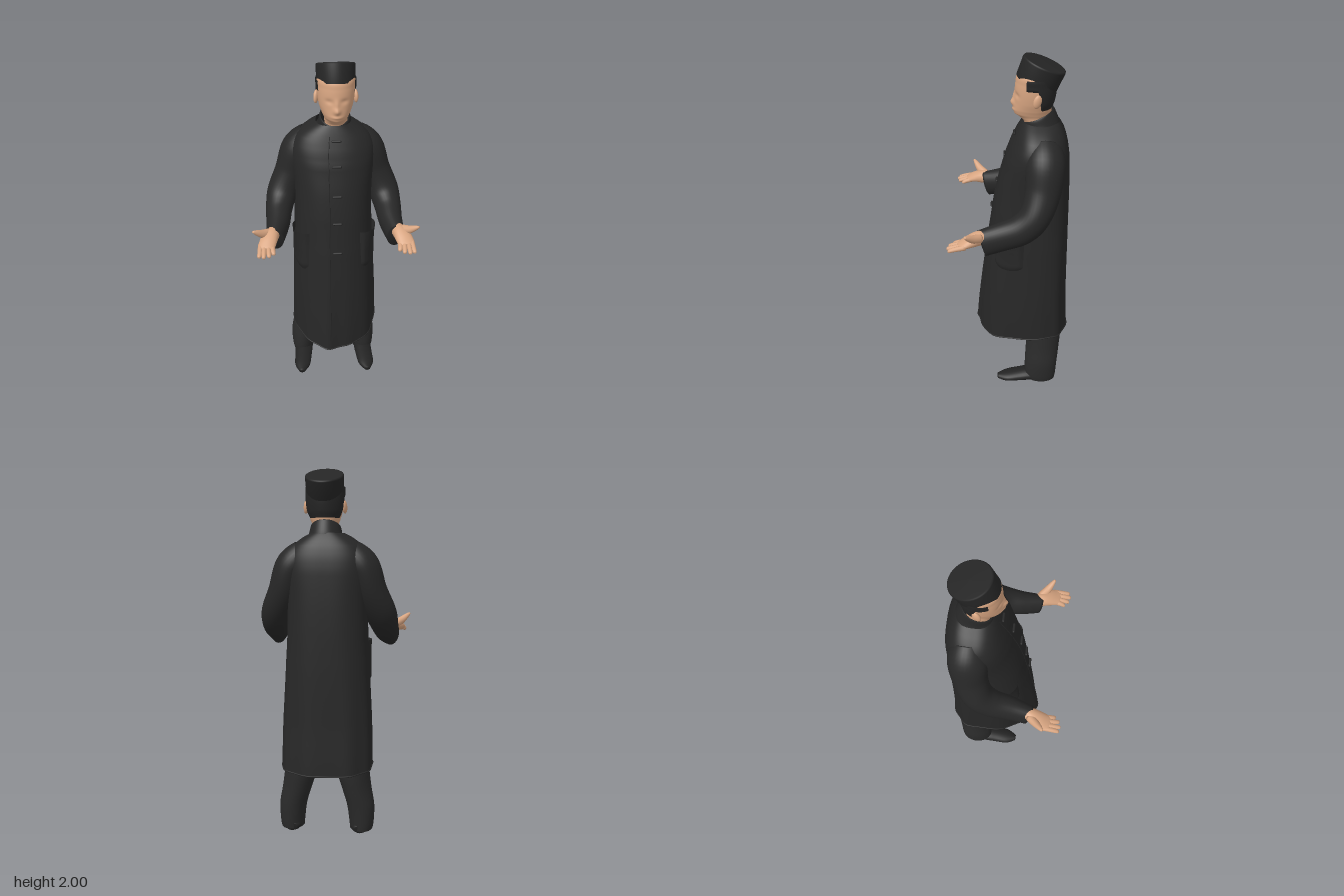
import * as THREE from 'three';

const { sin, cos, abs, sign, pow, exp, PI, max, min } = Math;
const V = (x, y, z) => new THREE.Vector3(x, y, z);
const paint = (name, color, side = THREE.FrontSide) => {
  const m = new THREE.MeshStandardMaterial({ color, side });
  m.name = name;
  return m;
};

// Grid surface from fn(u, v); closed joins the last column to the first
function surface(fn, nu, nv, closed = false) {
  const pos = [], idx = [], cols = closed ? nu : nu + 1;
  for (let j = 0; j <= nv; j++)
    for (let i = 0; i < cols; i++) pos.push(...fn(i / nu, j / nv).toArray());
  for (let j = 0; j < nv; j++)
    for (let i = 0; i < nu; i++) {
      const a = j * cols + i, b = j * cols + (i + 1) % cols;
      idx.push(a, b, a + cols, b, b + cols, a + cols);
    }
  const g = new THREE.BufferGeometry();
  g.setAttribute('position', new THREE.Float32BufferAttribute(pos, 3));
  g.setIndex(idx);
  g.computeVertexNormals();
  return g;
}

// Smooth interpolation through rows of numbers, at row index + fraction
function blend(keys, i, f) {
  const k = n => keys[max(0, min(keys.length - 1, n))];
  return k(i).map((b, c) => {
    const a = k(i - 1)[c], d = k(i + 1)[c], e = k(i + 2)[c];
    return b + 0.5 * f * (d - a + f * (2 * a - 5 * b + 4 * d - e + f * (3 * (b - d) + e - a)));
  });
}
const along = (keys, t) => {
  const s = max(0, min(1, t)) * (keys.length - 1), i = min(keys.length - 2, Math.floor(s));
  return blend(keys, i, s - i);
};
const atHeight = (keys, y) => {
  let i = 0;
  while (i < keys.length - 2 && y > keys[i + 1][0]) i++;
  return blend(keys, i, (y - keys[i][0]) / (keys[i + 1][0] - keys[i][0]));
};

// Capped limb through rows [x, y, z, radius in the bending plane, radius across]
function limb(keys, nv = 24, nu = 20, floor = -1) {
  const centre = t => V(...along(keys, t).slice(0, 3));
  return surface((u, v) => {
    const n = v * (nv + 2) - 1, t = max(0, min(1, n / nv));
    const r = n < -0.5 || n > nv + 0.5 ? 0 : 1;
    const [x, y, z, ru, rv] = along(keys, t);
    const tan = centre(min(1, t + 0.02)).sub(centre(max(0, t - 0.02))).normalize();
    const U = V(1, 0, 0).cross(tan).normalize(), W = tan.clone().cross(U);
    const p = V(x, y, z).addScaledVector(U, r * ru * cos(u * 2 * PI)).addScaledVector(W, r * rv * sin(u * 2 * PI));
    p.y = max(floor, p.y);
    return p;
  }, nu, nv + 2, true);
}

function mirrored(g) {
  const m = g.clone().scale(-1, 1, 1), ix = m.index.array;
  for (let i = 0; i < ix.length; i += 3) [ix[i], ix[i + 1]] = [ix[i + 1], ix[i]];
  m.computeVertexNormals();
  return m;
}

// Coat rows: height, half width, back z, front z
const coatRows = [
  [0.31, 0.253, -0.33, 0.185], [0.6, 0.247, -0.32, 0.165], [0.95, 0.23, -0.318, 0.13],
  [1.15, 0.22, -0.317, 0.105], [1.3, 0.22, -0.315, 0.075], [1.45, 0.23, -0.31, 0.035],
  [1.52, 0.225, -0.3, 0.008], [1.58, 0.195, -0.283, -0.02], [1.625, 0.14, -0.262, -0.042], [1.65, 0.092, -0.245, -0.058],
];
function coatPoint(a, y, off = 0) {
  const [, hx, zb, zf] = atHeight(coatRows, y), s = sin(a), c = cos(a), zc = -0.14;
  const low = max(0, 1 - (y - 0.31) / 0.8), fold = 0.004 * low * sin(9 * a + 0.5);
  const power = c > 0 ? 0.85 : 0.74;
  const x = 0.004 * low + (hx + off + fold) * sign(s) * pow(abs(s), power);
  let z = zc + ((c > 0 ? zf - zc : zc - zb) + off + fold) * sign(c) * pow(abs(c), power);
  if (c > 0) z += 0.035 * low * exp(-(((x + 0.05) / 0.05) ** 2));
  const hem = max(0, 1 - (y - 0.31) / 0.4);
  return V(x, y + hem * (0.015 * (1 - c) + 0.03 * s * s), z);
}

// Head rows: height, half width, back z, front z
const headRows = [
  [1.6, 0.06, -0.2, -0.075], [1.655, 0.062, -0.2, -0.06], [1.68, 0.064, -0.202, -0.035], [1.695, 0.07, -0.204, -0.014],
  [1.72, 0.08, -0.207, -0.008], [1.76, 0.092, -0.214, -0.012], [1.81, 0.099, -0.222, -0.014],
  [1.86, 0.1, -0.225, -0.018], [1.905, 0.096, -0.22, -0.03], [1.93, 0.05, -0.18, -0.09],
];
function headPoint(a, y, off = 0) {
  const [, hx, zb, zf] = atHeight(headRows, y), c = cos(a), zc = -0.125;
  const x = (hx + off) * sin(a);
  let z = zc + ((c > 0 ? zf - zc : zc - zb) + off) * c;
  const bump = (px, py, sx, sy, h) => h * exp(-(((x - px) / sx) ** 2) - ((y - py) / sy) ** 2);
  if (c > 0) z += bump(0, 1.752, 0.018, 0.018, 0.018) + bump(0, 1.785, 0.012, 0.025, 0.008)
    + bump(0, 1.716, 0.028, 0.008, 0.007) + bump(0, 1.688, 0.025, 0.012, 0.005)
    + bump(0.04, 1.8, 0.02, 0.014, -0.007) + bump(-0.04, 1.8, 0.02, 0.014, -0.007);
  return V(x, y, z);
}

export function createModel() {
  const root = new THREE.Group();
  root.name = 'robedMan';
  const cloth = paint('blackCoat', 0x272727, THREE.DoubleSide);
  const dark = paint('blackHatAndHair', 0x252525, THREE.DoubleSide);
  const trouser = paint('darkTrousers', 0x2a2a2a);
  const shoeMat = paint('blackShoes', 0x222222);
  const skin = paint('skin', 0xd9a682);
  const add = (name, geo, mat, parent = root) => {
    const m = new THREE.Mesh(geo, mat);
    m.name = name;
    parent.add(m);
    return m;
  };
  const pair = (name, geo, mat, parent = root) => {
    add('left' + name, geo, mat, parent);
    add('right' + name, mirrored(geo), mat, parent);
  };

  // Long coat, open underneath, with a rolled hem and front edge
  add('coat', surface((u, v) => coatPoint(u * 2 * PI, 0.31 + 1.34 * v), 96, 60, true), cloth);
  const line = (n, fn) => Array.from({ length: n }, (_, i) => fn(i / n));
  const hemPath = new THREE.CatmullRomCurve3(line(96, t => coatPoint(t * 2 * PI, 0.312)), true);
  add('coatHem', new THREE.TubeGeometry(hemPath, 192, 0.004, 8, true), cloth);
  const edgePath = new THREE.CatmullRomCurve3(line(30, t => coatPoint(-0.09, 0.315 + 1.33 * t)));
  add('coatFrontEdge', new THREE.TubeGeometry(edgePath, 80, 0.0025, 6), cloth);

  // Standing collar, higher at the back and folded inwards
  const collarRows = [
    [1.605, 0.12, -0.258, -0.04, 0], [1.635, 0.094, -0.247, -0.05, 0.5], [1.677, 0.083, -0.222, -0.054, 1],
    [1.68, 0.075, -0.214, -0.061, 1], [1.63, 0.07, -0.21, -0.066, 1],
  ];
  add('collar', surface((u, v) => {
    const [y, hx, zb, zf, tilt] = along(collarRows, v), a = u * 2 * PI;
    return V(0.011 + hx * sin(a), y - tilt * 0.036 * cos(a), (zf + zb) / 2 + (zf - zb) / 2 * cos(a));
  }, 48, 20, true), cloth);

  // Toggle fastenings
  for (const y of [1.58, 1.455, 1.295, 1.14, 0.96]) {
    const p = coatPoint(0.03, y, 0.006);
    const bar = add('toggle', new THREE.CapsuleGeometry(0.007, 0.04, 4, 8), cloth);
    bar.rotation.z = PI / 2;
    bar.position.set(0.013, p.y, p.z);
  }

  // Patch pockets that gape at the top
  pair('Pocket', surface((u, v) => {
    const border = min(1, 8 * u, 8 * (1 - u), 8 * v), gape = v * v * sin(PI * u);
    const y = 0.81 + 0.25 * v + 0.04 * (1 - v) * pow(abs(2 * u - 1), 3);
    return coatPoint(0.6 + 0.78 * u, y, -0.004 + 0.014 * border + 0.026 * gape);
  }, 28, 20), cloth);

  // Wide sleeves, bent at the elbow
  pair('Sleeve', limb([
    [0.12, 1.525, -0.175, 0.09, 0.095], [0.19, 1.47, -0.175, 0.105, 0.095], [0.237, 1.34, -0.165, 0.095, 0.088],
    [0.287, 1.225, -0.125, 0.085, 0.086], [0.308, 1.155, -0.055, 0.084, 0.075],
    [0.315, 1.115, 0.045, 0.08, 0.065], [0.334, 1.083, 0.157, 0.077, 0.05],
  ], 40, 32), cloth);

  // Open hands, palms up, thumbs outwards
  pair('Palm', limb([
    [0.335, 1.12, 0.12, 0.033, 0.032], [0.343, 1.123, 0.165, 0.04, 0.038],
    [0.362, 1.116, 0.21, 0.031, 0.046], [0.375, 1.102, 0.255, 0.019, 0.046], [0.378, 1.096, 0.275, 0.012, 0.043],
  ], 20), skin);
  const fingers = [[0.345, 0.337, 0.306], [0.365, 0.36, 0.328], [0.387, 0.388, 0.336], [0.406, 0.412, 0.328]];
  for (const [x0, x1, z1] of fingers)
    pair('Finger', limb([
      [x0, 1.104, 0.235, 0.015, 0.0145], [(x0 + x1) / 2, 1.094, (0.25 + z1) / 2, 0.013, 0.0135],
      [x1, 1.086, z1 - 0.008, 0.01, 0.011], [x1, 1.085, z1, 0.005, 0.006],
    ], 10, 12), skin);
  pair('Thumb', limb([
    [0.362, 1.13, 0.165, 0.028, 0.024], [0.395, 1.148, 0.197, 0.023, 0.021],
    [0.425, 1.173, 0.222, 0.014, 0.014], [0.442, 1.187, 0.235, 0.006, 0.007],
  ], 12, 14), skin);

  // Trouser legs and shoes; leg rows: height, centre x, half width, centre z, half depth
  const legRows = [
    [0.015, 0.195, 0.064, -0.18, 0.086], [0.06, 0.196, 0.069, -0.178, 0.094], [0.15, 0.189, 0.076, -0.182, 0.098],
    [0.25, 0.165, 0.083, -0.187, 0.1], [0.36, 0.143, 0.093, -0.19, 0.103], [0.55, 0.12, 0.1, -0.18, 0.105], [0.8, 0.105, 0.1, -0.15, 0.1],
  ];
  pair('TrouserLeg', surface((u, v) => {
    const [y, cx, hx, cz, hz] = along(legRows, v), a = u * 2 * PI;
    const crease = 1 + 0.02 * sin(3 * a + 14 * y);
    return V(cx + hx * crease * sin(a), y, cz + hz * crease * cos(a));
  }, 32, 30, true), trouser);
  pair('Shoe', limb([
    [0.19, 0.026, -0.262, 0.022, 0.03], [0.19, 0.03, -0.23, 0.032, 0.05], [0.193, 0.032, -0.12, 0.036, 0.055],
    [0.198, 0.027, -0.05, 0.032, 0.053], [0.205, 0.02, 0.03, 0.025, 0.047], [0.21, 0.018, 0.086, 0.014, 0.018],
  ], 24, 24, 0), shoeMat);

  // Head, ears and hair
  const head = new THREE.Group();
  head.name = 'headGroup';
  head.position.x = 0.016;
  root.add(head);
  add('head', surface((u, v) => headPoint(u * 2 * PI, 1.6 + 0.33 * v), 80, 66, true), skin, head);
  const ear = new THREE.SphereGeometry(1, 16, 12).scale(0.013, 0.036, 0.022);
  ear.rotateX(-0.25).rotateY(0.3).translate(0.105, 1.79, -0.13);
  pair('Ear', ear, skin, head);
  add('hair', surface((u, v) => {
    const a = 1.1 + (2 * PI - 2.2) * u, back = min(a, 2 * PI - a);
    const drop = THREE.MathUtils.smoothstep(back, 1.65, 1.9);
    const base = 1.838 - 0.108 * drop;
    return headPoint(a, base + (1.895 - base) * v, 0.007 * min(1, 0.2 + 4 * v));
  }, 64, 16), dark, head);

  // Round flat-topped cap, tilted back
  const capProfile = [[0.1, -0.05], [0.112, -0.053], [0.116, 0.046], [0.114, 0.053], [0.108, 0.056], [0, 0.058]];
  const cap = add('cap', new THREE.LatheGeometry(capProfile.map(p => new THREE.Vector2(...p)), 48), dark, head);
  cap.scale.x = 0.9;
  cap.rotation.x = -0.38;
  cap.position.set(0, 1.906, -0.146);

  return root;
}
